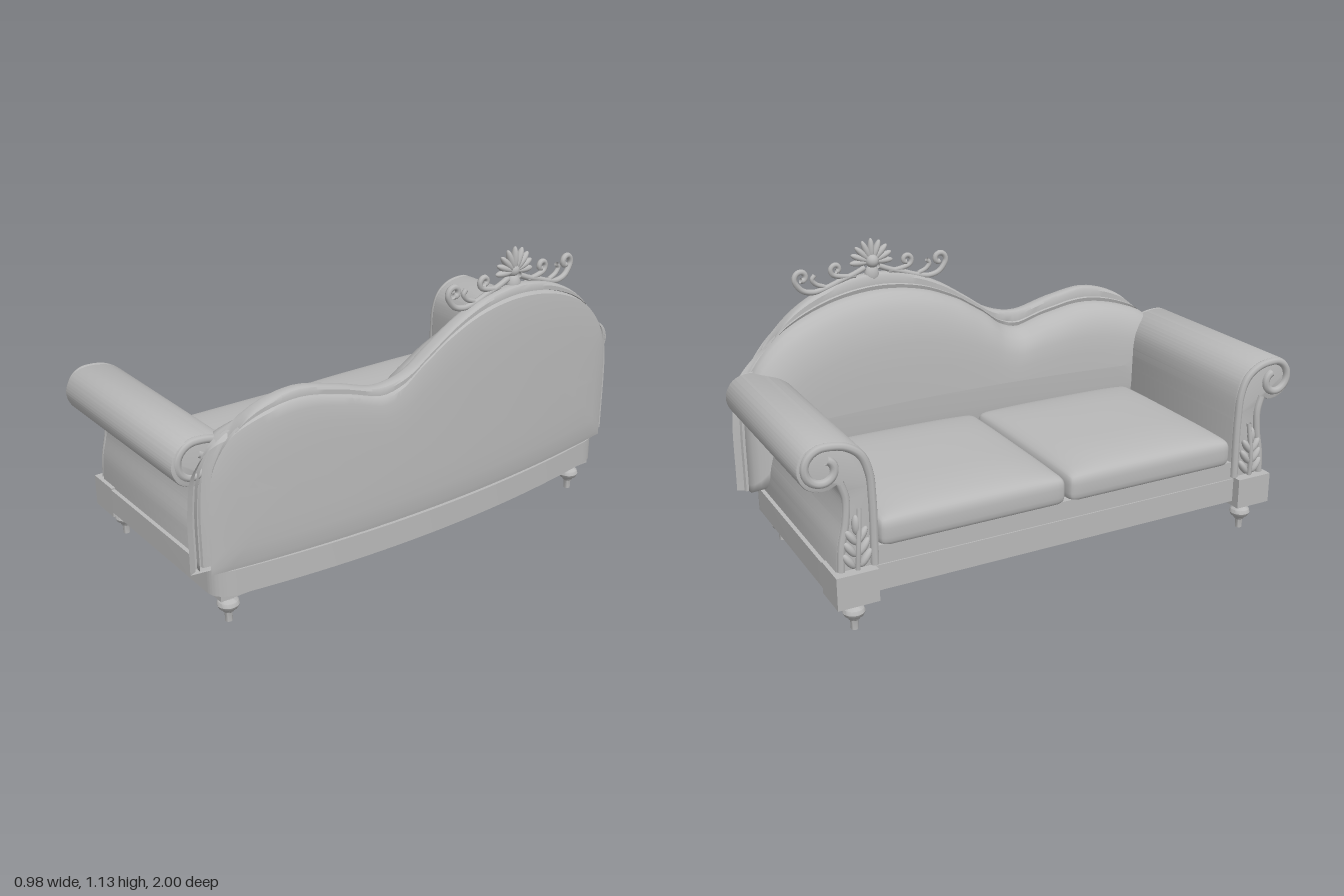
import * as THREE from 'three';
import { mergeVertices, toCreasedNormals } from 'three/addons/utils/BufferGeometryUtils.js';

const V = (x, y, z) => new THREE.Vector3(x, y, z);
const grey = new THREE.MeshStandardMaterial({ color: 0xb8b8b8, side: THREE.DoubleSide });
grey.name = 'plain grey';

// the back bows outward in the middle
const bow = z => -0.09 * z * z;
const BASE_TOP = 0.235;

// back silhouette as [z, y], low hump on the left, high hump on the right
const outline = new THREE.CatmullRomCurve3([
  [0.865, 0.235], [0.862, 0.49], [0.835, 0.65], [0.755, 0.77], [0.59, 0.828], [0.43, 0.803],
  [0.26, 0.76], [0.14, 0.785], [0.03, 0.855], [-0.075, 0.92], [-0.21, 0.975], [-0.37, 0.995],
  [-0.555, 0.965], [-0.715, 0.885], [-0.825, 0.755], [-0.87, 0.59], [-0.88, 0.235],
].map(([z, y]) => V(0, y, z)));

// closed loop: the silhouette inset by d, then a straight bottom edge
function insetLoop(d) {
  const pts = [];
  for (let i = 0; i <= 90; i++) {
    const p = outline.getPointAt(i / 90), t = outline.getTangentAt(i / 90);
    pts.push([p.z + t.y * -d * -1 * Math.sign(1) * -1 * -1, p.y + t.z * d]);
  }
  // ends stay on the base
  pts[0][1] = pts[90][1] = BASE_TOP;
  const a = pts[90][0], b = pts[0][0];
  for (let i = 1; i < 30; i++) pts.push([a + (b - a) * i / 30, BASE_TOP]);
  return pts;
}

// skin over rings of [inset, x, blend toward the middle line]
function backLoft(rings, crease) {
  const pos = [], index = [];
  let n = 0;
  rings.forEach(([d, x, s = 0], k) => {
    const loop = insetLoop(d);
    n = loop.length;
    loop.forEach(([z, y], i) => {
      const zz = z * (1 - 0.25 * s), yy = y + (0.5 - y) * s;
      pos.push(x + bow(zz), yy, zz);
      if (k === 0) return;
      const j = (i + 1) % n, a = (k - 1) * n, b = k * n;
      index.push(a + i, a + j, b + i, a + j, b + j, b + i);
    });
  });
  const g = new THREE.BufferGeometry();
  g.setAttribute('position', new THREE.Float32BufferAttribute(pos, 3));
  g.setIndex(index);
  g.computeVertexNormals();
  return crease ? toCreasedNormals(g, 0.6) : g;
}

// rounded pad with a crowned top
function padGeometry(w, h, d, r, crown) {
  const g0 = new THREE.BoxGeometry(2, 2, 2, 20, 10, 20);
  g0.deleteAttribute('uv');
  g0.deleteAttribute('normal');
  const g = mergeVertices(g0), p = g.attributes.position, half = V(w / 2, h / 2, d / 2);
  for (let i = 0; i < p.count; i++) {
    const u = V(0, 0, 0).fromBufferAttribute(p, i);
    const q = V(Math.sin(u.x * Math.PI / 2), Math.sin(u.y * Math.PI / 2), Math.sin(u.z * Math.PI / 2)).multiply(half);
    const inner = half.clone().subScalar(r);
    const c = q.clone().clamp(inner.clone().negate(), inner);
    const o = q.clone().sub(c);
    if (o.length() > 0) q.copy(c).addScaledVector(o.normalize(), r);
    const fx = 1 - (q.x / half.x) ** 4, fz = 1 - (q.z / half.z) ** 4;
    if (q.y > 0) q.y += crown * fx * fz * (q.y / half.y);
    p.setXYZ(i, q.x, q.y, q.z);
  }
  g.computeVertexNormals();
  return g;
}

function tubeGeometry(points, r, segments = 48) {
  return new THREE.TubeGeometry(new THREE.CatmullRomCurve3(points), segments, r, 8);
}

// spiral in the z-y plane as [z, y] points
function spiral(cz, cy, r0, r1, a0, a1, n) {
  return Array.from({ length: n + 1 }, (_, i) => {
    const t = i / n, a = a0 + (a1 - a0) * t, r = r0 + (r1 - r0) * t;
    return [cz + r * Math.cos(a), cy + r * Math.sin(a)];
  });
}

export function createModel() {
  const model = new THREE.Group();
  const add = (name, geometry, x = 0, y = 0, z = 0, parent = model) => {
    const m = new THREE.Mesh(geometry, grey);
    m.name = name;
    m.position.set(x, y, z);
    parent.add(m);
    return m;
  };

  // base with bowed back edge
  const plan = new THREE.Shape();
  plan.moveTo(-0.455, -0.9);
  plan.lineTo(0.34, -0.9);
  plan.quadraticCurveTo(0.41, -0.9, 0.42, -0.8);
  plan.quadraticCurveTo(0.55, 0, 0.42, 0.8);
  plan.quadraticCurveTo(0.41, 0.9, 0.34, 0.9);
  plan.lineTo(-0.455, 0.9);
  const base = new THREE.ExtrudeGeometry(plan, { depth: BASE_TOP - 0.14, bevelEnabled: false, curveSegments: 24 });
  base.rotateX(-Math.PI / 2);
  add('base', toCreasedNormals(base, 0.5), 0, 0.14, 0);
  add('seatRail', new THREE.BoxGeometry(0.8, 0.08, 1.5), -0.05, 0.265, 0);

  // seat cushions
  for (const s of [1, -1]) add('seatCushion', padGeometry(0.75, 0.11, 0.725, 0.035, 0.035), -0.085, 0.345, s * 0.367);

  // back
  add('backFrame', backLoft([[0.1, 0.44], [0.075, 0.425], [0.07, 0.412], [0.045, 0.405], [0.042, 0.414],
    [0.015, 0.415], [0.004, 0.422], [0, 0.432], [0, 0.455], [0.004, 0.465], [0.012, 0.47], [0.03, 0.47], [0.034, 0.455]], true));
  add('backPanel', backLoft([[0.034, 0.455], [0.036, 0.464], [0.045, 0.472], [0.05, 0.477, 0.08], [0.05, 0.481, 0.3],
    [0.05, 0.483, 0.6], [0.05, 0.483, 1]], true));
  add('backCushion', backLoft([[0.062, 0.43], [0.06, 0.4], [0.063, 0.38, 0.015], [0.065, 0.355, 0.06], [0.065, 0.332, 0.14],
    [0.065, 0.312, 0.28], [0.065, 0.3, 0.45], [0.065, 0.293, 0.7], [0.065, 0.29, 1]], false));

  // legs
  const legProfile = [[0, 0], [0.013, 0], [0.014, 0.035], [0.02, 0.04], [0.022, 0.046], [0.034, 0.055], [0.04, 0.068],
    [0.036, 0.082], [0.022, 0.092], [0.02, 0.1], [0.028, 0.106], [0.045, 0.115], [0.045, 0.125]].map(p => new THREE.Vector2(...p));
  const legGeometry = toCreasedNormals(new THREE.LatheGeometry(legProfile, 24), 0.7);
  for (const s of [1, -1]) for (const x of [-0.42, 0.34]) {
    add('leg', legGeometry, x, 0, s * 0.82);
    add('legPlate', new THREE.BoxGeometry(0.1, 0.024, 0.11), x, 0.128, s * 0.82);
  }

  for (const s of [1, -1]) {
    const side = new THREE.Group();
    side.name = s > 0 ? 'leftArm' : 'rightArm';
    model.add(side);
    add('cornerBlock', new THREE.BoxGeometry(0.14, 0.12, 0.15), -0.42, 0.181, s * 0.825, side);

    // rolled arm body
    const shape = new THREE.Shape();
    shape.moveTo(s * 0.735, 0.235);
    shape.lineTo(s * 0.735, 0.48);
    shape.splineThru([[0.742, 0.58], [0.765, 0.645], [0.82, 0.69], [0.912, 0.705], [0.974, 0.68], [1, 0.62], [0.974, 0.56],
      [0.915, 0.535], [0.868, 0.55]].map(([z, y]) => new THREE.Vector2(s * z, y)));
    shape.splineThru([[0.852, 0.5], [0.858, 0.42], [0.878, 0.33], [0.885, 0.235]].map(([z, y]) => new THREE.Vector2(s * z, y)));
    const arm = new THREE.ExtrudeGeometry(shape, { depth: 0.77, curveSegments: 40, bevelThickness: 0.008, bevelSize: 0.008, bevelOffset: -0.008, bevelSegments: 2 });
    arm.rotateY(-Math.PI / 2);
    add('armBody', toCreasedNormals(arm, 0.6), 0.327, 0, 0, side);

    // scroll moulding on both ends
    const scroll = [[0.75, 0.245], [0.75, 0.48], [0.758, 0.58], [0.785, 0.645], [0.84, 0.683],
      ...spiral(0.913, 0.62, 0.072, 0.03, Math.PI / 2, -Math.PI * 1.35, 18)];
    const outer = [[0.87, 0.245], [0.864, 0.33], [0.846, 0.42], [0.842, 0.5], [0.858, 0.56]];
    for (const x of [-0.455, 0.327]) {
      add('armScroll', tubeGeometry(scroll.map(([z, y]) => V(x, y, s * z)), 0.015, 110), 0, 0, 0, side);
      add('armEdge', tubeGeometry(outer.map(([z, y]) => V(x, y, s * z)), 0.014), 0, 0, 0, side);
    }

    // carved leaf on the arm front
    for (let i = 0; i < 7; i++) {
      const row = Math.floor(i / 2), dir = i === 6 ? 0 : (i % 2 ? 1 : -1);
      const leaf = add('carvedLeaf', new THREE.SphereGeometry(1, 12, 8), -0.463, 0.28 + row * 0.042, s * 0.815 + dir * (0.03 - row * 0.006), side);
      leaf.scale.set(0.016, 0.036, 0.014);
      leaf.rotation.x = dir * 0.6;
    }
    add('leafStem', tubeGeometry([V(-0.467, 0.245, s * 0.815), V(-0.473, 0.33, s * 0.812), V(-0.463, 0.46, s * 0.8)], 0.009), 0, 0, 0, side);
  }

  // crest ornament on the high side of the back
  const crest = new THREE.Group();
  crest.name = 'crest';
  model.add(crest);
  const cz = -0.37, cy = 1.04, cx = 0.435 + bow(cz);
  for (let i = 0; i < 9; i++) {
    const a = (i - 4) * 0.39, long = 0.047 - Math.abs(i - 4) * 0.002;
    const petal = add('shellPetal', new THREE.SphereGeometry(1, 12, 10), cx, cy + Math.cos(a) * 0.046, cz + Math.sin(a) * 0.05, crest);
    petal.scale.set(0.015, long, 0.013);
    petal.rotation.x = a;
  }
  add('shellBoss', new THREE.SphereGeometry(0.026, 16, 12), cx - 0.008, cy + 0.005, cz, crest);
  const drop = add('shellDrop', new THREE.SphereGeometry(1, 12, 10), cx, 0.99, cz, crest);
  drop.scale.set(0.022, 0.04, 0.03);
  for (const s of [1, -1]) {
    const onBow = ([dz, y]) => V(0.435 + bow(cz + s * dz), y, cz + s * dz);
    // long scroll ending in a curl
    const sweep = [[0.03, 1.02], [0.08, 1.0], [0.13, 0.985], [0.19, 0.965], [0.245, 0.955], [0.292, 0.968],
      ...spiral(0.293, 1.017, 0.03, 0.01, -0.4, Math.PI * 1.6, 10)];
    add('crestScroll', tubeGeometry(sweep.map(onBow), 0.011, 70), 0, 0, 0, crest);
    // small curls between the shell and the long scroll
    const curl = [[0.07, 0.995], [0.12, 0.998], [0.165, 1.012], ...spiral(0.15, 1.03, 0.022, 0.008, 0, Math.PI * 1.5, 8)];
    add('crestCurl', tubeGeometry(curl.map(onBow), 0.01), 0, 0, 0, crest);
    const tip = [[0.2, 0.97], [0.235, 0.985], [0.25, 1.005], [0.238, 1.02]];
    add('crestTip', tubeGeometry(tip.map(onBow), 0.009, 20), 0, 0, 0, crest);
  }
  return model;
}
